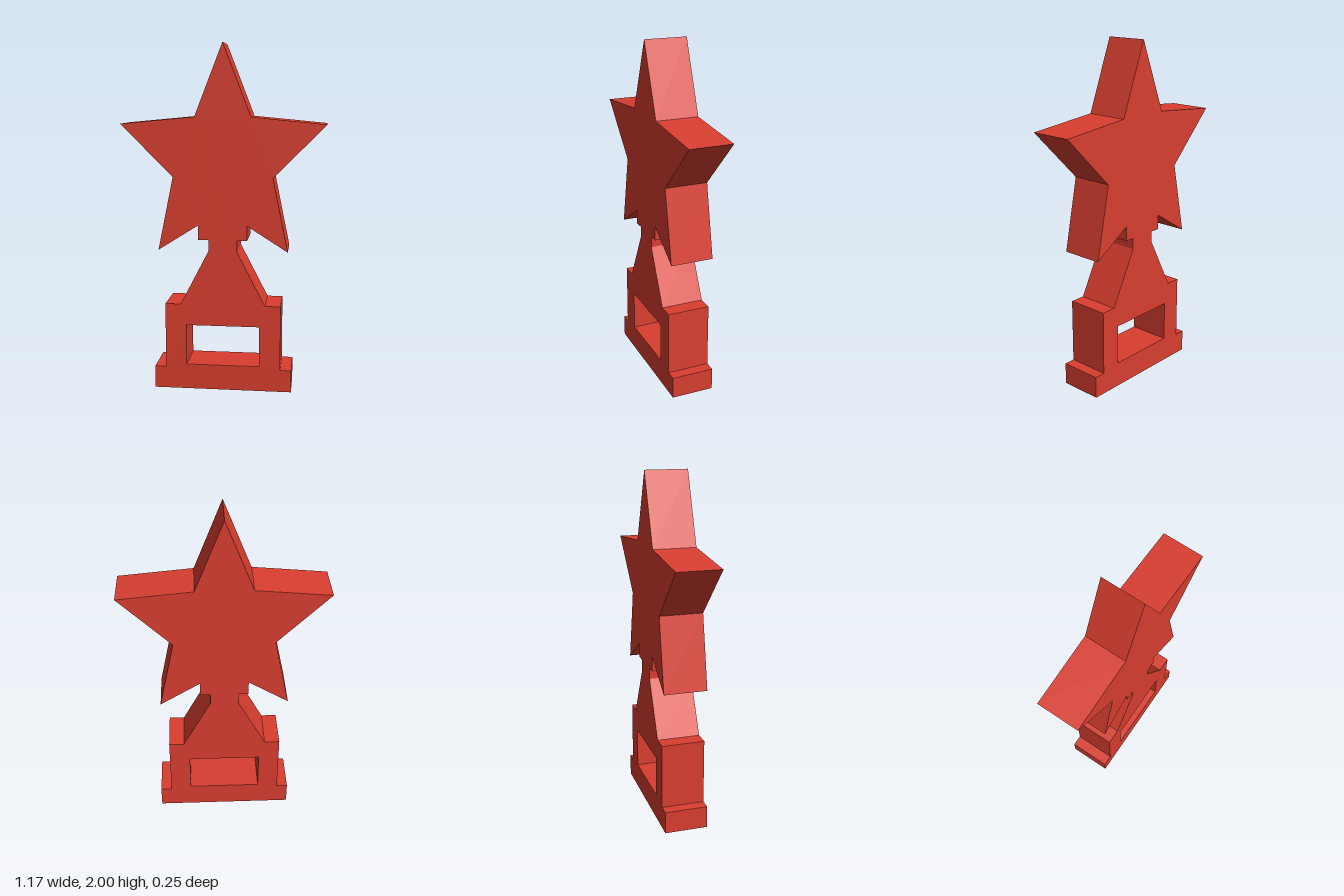
import * as THREE from 'three';

const DEPTH = 0.25;

// Right half of the outline, from the top of the star down to the base
const HALF_OUTLINE = [
  [0.16, 1.59], [0.583, 1.55], [0.285, 1.25], [0.372, 0.828], // star points
  [0.14, 0.975], [0.14, 0.89], [0.082, 0.89], [0.082, 0.825], // collar and neck
  [0.245, 0.51], [0.335, 0.51], [0.335, 0.13],                // flared stem, plinth
  [0.4, 0.13], [0.4, 0],                                      // foot
];

function trophyShape() {
  const mirrored = HALF_OUTLINE.map(([x, y]) => [-x, y]).reverse();
  const toVector = ([x, y]) => new THREE.Vector2(x, y);
  const shape = new THREE.Shape([[0, 2], ...HALF_OUTLINE, ...mirrored].map(toVector));

  // Rectangular window through the plinth
  const window = [[-0.212, 0.148], [0.212, 0.148], [0.212, 0.385], [-0.212, 0.385]];
  shape.holes.push(new THREE.Path(window.map(toVector)));
  return shape;
}

export function createModel() {
  const red = new THREE.MeshStandardMaterial({ color: 0xd93e30 });
  red.name = 'red';

  // One continuous slab: star, neck, plinth and foot
  const geometry = new THREE.ExtrudeGeometry(trophyShape(), { depth: DEPTH, bevelEnabled: false });
  geometry.translate(0, 0, -DEPTH / 2);

  const trophy = new THREE.Mesh(geometry, red);
  trophy.name = 'starTrophy';

  const model = new THREE.Group();
  model.name = 'trophy';
  model.add(trophy);
  return model;
}
